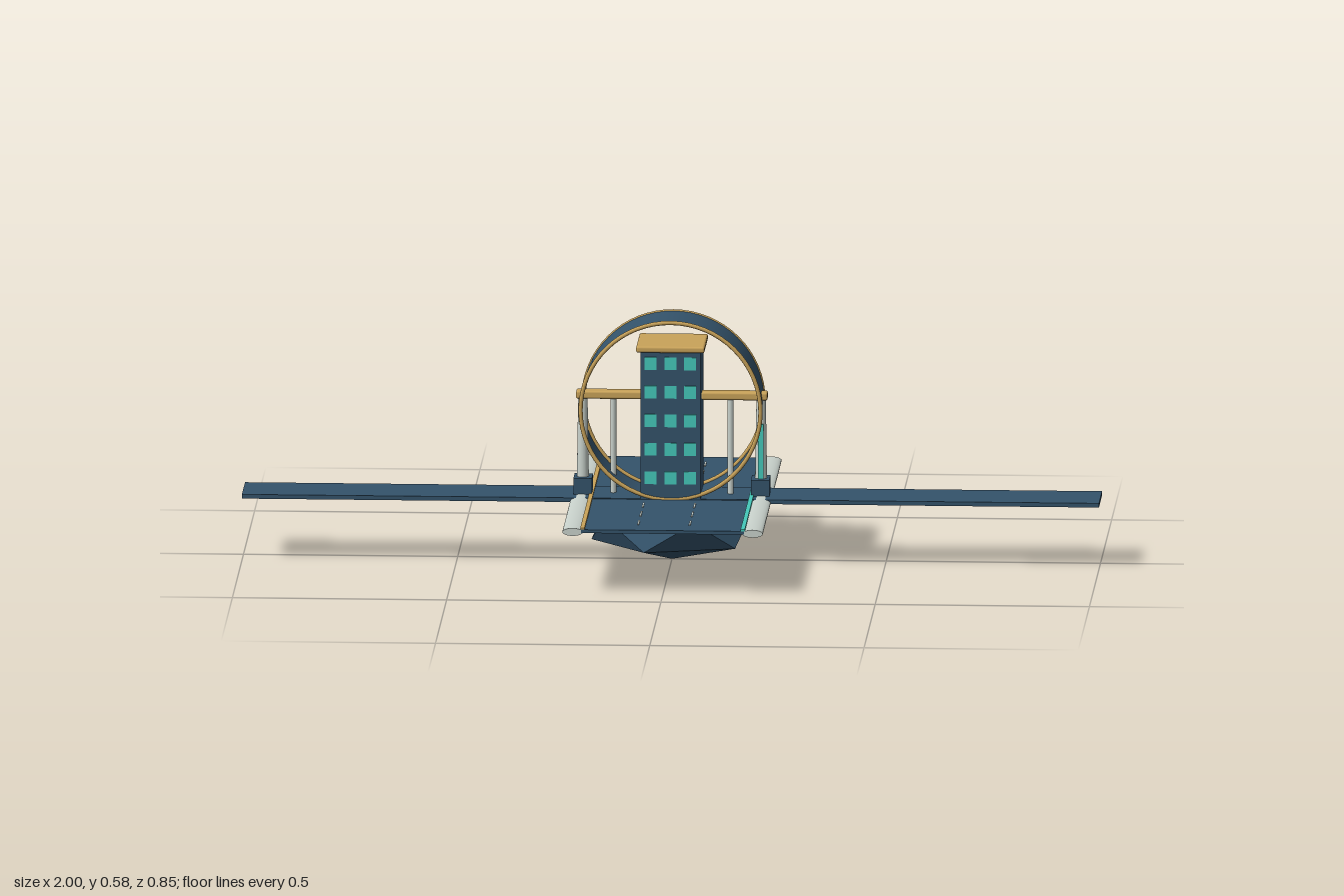
import * as THREE from 'three';
import { RoundedBoxGeometry } from 'three/addons/geometries/RoundedBoxGeometry.js';
import { ConvexGeometry } from 'three/addons/geometries/ConvexGeometry.js';

const mat = (name, color, extra = {}) => {
  const m = new THREE.MeshStandardMaterial({ color, ...extra });
  m.name = name;
  return m;
};

export function createModel() {
  const navy = mat('navy', 0x34536b);
  const shellNavy = mat('shell navy', 0x34536b, { side: THREE.DoubleSide });
  const rockNavy = mat('rock navy', 0x34536b, { flatShading: true });
  const gold = mat('gold', 0xc9a35a);
  const teal = mat('teal', 0x45c9bb);
  const pale = mat('pale stone', 0xc9d2cc);
  const slate = mat('slate', 0x4c5a62);

  const model = new THREE.Group();
  model.name = 'ringStation';
  const add = (name, geometry, material, x = 0, y = 0, z = 0) => {
    const mesh = new THREE.Mesh(geometry, material);
    mesh.name = name;
    mesh.position.set(x, y, z);
    model.add(mesh);
    return mesh;
  };
  const box = (name, w, h, d, material, x, y, z) =>
    add(name, new THREE.BoxGeometry(w, h, d), material, x, y, z);

  // Faceted rock keel: two five-sided rings between two poles
  const points = [new THREE.Vector3(0, 0, 0), new THREE.Vector3(0, 0.152, 0)];
  for (let i = 0; i < 5; i++) {
    const a = (i * Math.PI * 2) / 5;
    points.push(new THREE.Vector3(0.188 * Math.cos(a), 0.115, 0.16 * Math.sin(a)));
    points.push(new THREE.Vector3(-0.188 * Math.cos(a), 0.045, -0.16 * Math.sin(a)));
  }
  add('rockKeel', new ConvexGeometry(points), rockNavy);

  // Decks
  box('longWing', 2, 0.01, 0.14, navy, 0, 0.152, 0);
  box('crossDeck', 0.38, 0.008, 0.85, navy, 0, 0.151, 0);
  box('underPlate', 0.37, 0.008, 0.28, slate, 0, 0.143, 0);

  // Side rails with one coloured light strip each
  for (const s of [-1, 1]) {
    const rail = add('sideRail', new THREE.CylinderGeometry(1, 1, 0.85, 24), pale, s * 0.21, 0.149, 0);
    rail.geometry.rotateX(Math.PI / 2);
    rail.geometry.scale(0.024, 0.009, 1);
    box('lightStrip', 0.01, 0.005, 0.85, s > 0 ? teal : gold, s * 0.187, 0.157, 0);
    // Lane dashes
    for (const z of [-0.34, -0.24, -0.14, 0.14, 0.24, 0.34])
      box('laneDash', 0.004, 0.002, 0.05, pale, s * 0.06, 0.156, z);
  }

  // Upright ring with gold rims
  const shell = new THREE.CylinderGeometry(0.212, 0.212, 0.14, 64, 1, true);
  shell.rotateX(Math.PI / 2);
  add('ringShell', shell, shellNavy, 0, 0.365, 0);
  for (const z of [-0.067, 0.067])
    add('ringRim', new THREE.TorusGeometry(0.21, 0.005, 8, 64), gold, 0, 0.365, z);

  // Tower, cap and windows
  box('tower', 0.14, 0.35, 0.14, navy, 0, 0.331, 0);
  add('towerCap', new RoundedBoxGeometry(0.16, 0.015, 0.16, 2, 0.005), gold, 0, 0.513, 0);
  for (let row = 0; row < 5; row++)
    for (let col = -1; col <= 1; col++)
      box('window', 0.028, 0.03, 0.005, teal, col * 0.046, 0.207 + row * 0.068, 0.0705);

  // Arms, pylons and inner posts
  for (const s of [-1, 1]) {
    add('arm', new RoundedBoxGeometry(0.155, 0.019, 0.034, 2, 0.005), gold, s * 0.146, 0.391, 0);
    add('pylon', new THREE.CylinderGeometry(0.011, 0.014, 0.19, 16), pale, s * 0.208, 0.288, 0);
    box('pylonBase', 0.043, 0.04, 0.06, navy, s * 0.207, 0.175, 0);
    add('innerPost', new THREE.CylinderGeometry(0.007, 0.007, 0.228, 12), pale, s * 0.137, 0.27, 0);
  }
  box('pylonLight', 0.012, 0.13, 0.006, teal, 0.208, 0.26, 0.0135);
  add('bollard', new THREE.CylinderGeometry(0.006, 0.006, 0.05, 12), pale, 0.208, 0.18, -0.046);

  return model;
}
